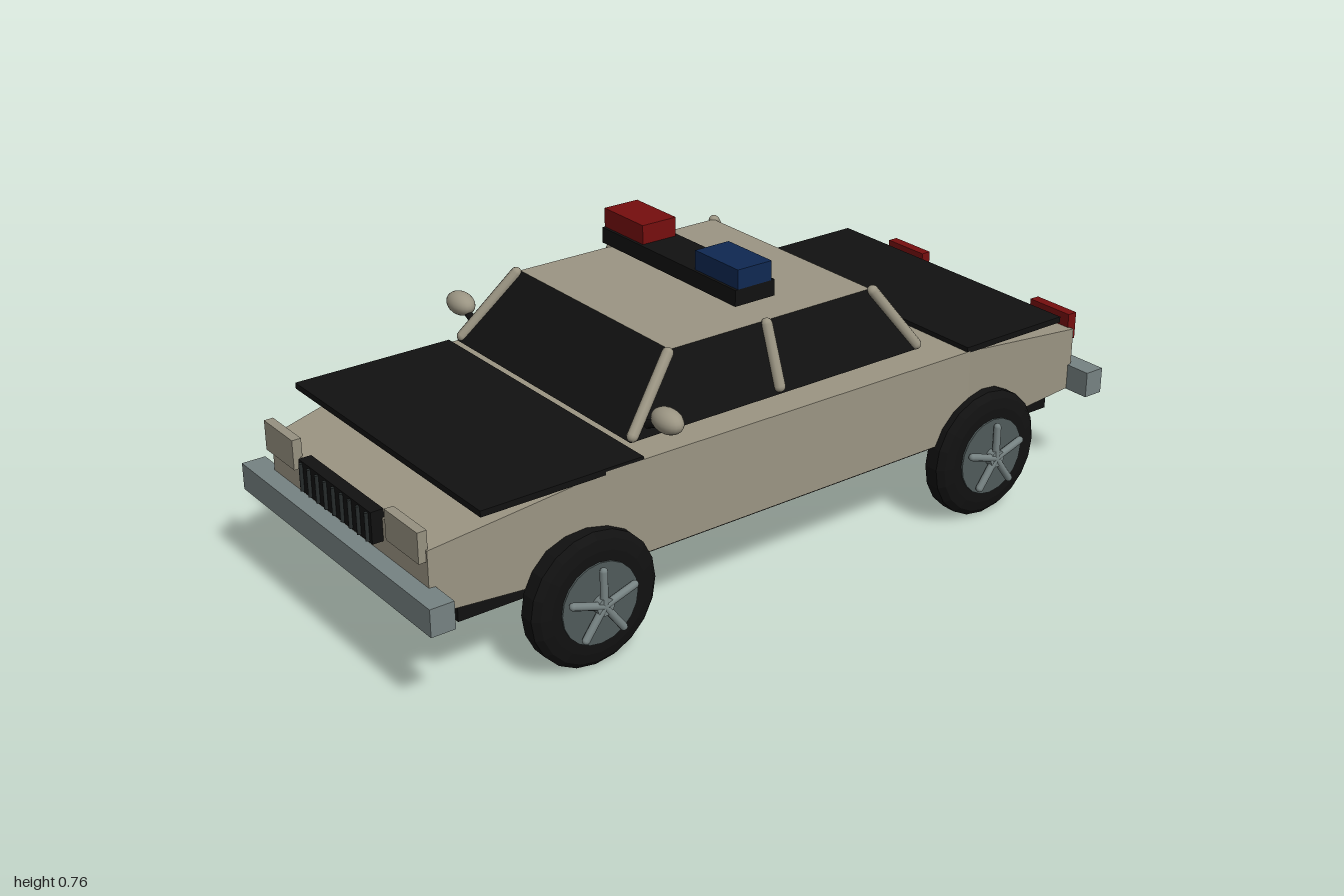
import * as THREE from 'three';

const mat = (name, color) => {
  const m = new THREE.MeshStandardMaterial({ color });
  m.name = name;
  return m;
};

export function createModel() {
  const beige = mat('beige paint', 0x9b9583);
  const black = mat('black', 0x111111);
  const steel = mat('steel grey', 0x768282);
  const rimGrey = mat('rim grey', 0x4f5a5a);
  const red = mat('red', 0x760e0e);
  const blue = mat('blue', 0x0f2852);
  const lampGlass = mat('headlight glass', 0x969180);
  const barGrey = mat('grille bar', 0x262b2b);

  const car = new THREE.Group();
  car.name = 'patrolCar';

  const add = (name, geometry, material, x = 0, y = 0, z = 0, parent = car) => {
    const mesh = new THREE.Mesh(geometry, material);
    mesh.name = name;
    mesh.position.set(x, y, z);
    parent.add(mesh);
    return mesh;
  };
  // Box given by its extents
  const box = (name, material, [x0, x1], [y0, y1], [z0, z1], parent = car) =>
    add(name, new THREE.BoxGeometry(x1 - x0, y1 - y0, z1 - z0), material,
      (x0 + x1) / 2, (y0 + y1) / 2, (z0 + z1) / 2, parent);
  // Flat facets, keeping material groups
  const faceted = (geometry) => {
    const g = geometry.index ? geometry.toNonIndexed() : geometry;
    g.computeVertexNormals();
    return g;
  };
  const reshape = (geometry, rule) => {
    const p = geometry.attributes.position;
    for (let i = 0; i < p.count; i++) p.setXYZ(i, ...rule(p.getX(i), p.getY(i), p.getZ(i)));
    return faceted(geometry);
  };
  // Round rod between two points
  const rod = (name, material, a, b, radius, parent = car) => {
    const from = new THREE.Vector3(...a), to = new THREE.Vector3(...b);
    const dir = to.clone().sub(from);
    const mesh = add(name, new THREE.CapsuleGeometry(radius, dir.length(), 4, 10), material, 0, 0, 0, parent);
    mesh.position.copy(from).add(to).multiplyScalar(0.5);
    mesh.quaternion.setFromUnitVectors(new THREE.Vector3(0, 1, 0), dir.normalize());
    return mesh;
  };

  // Body: four stations along z as [z, half width, top height]
  const stations = [[-0.957, 0.353, 0.382], [-0.54, 0.402, 0.447], [0.54, 0.402, 0.452], [0.955, 0.345, 0.373]];
  add('body', reshape(new THREE.BoxGeometry(2, 2, 3, 1, 1, 3), (x, y, z) => {
    const [sz, half, top] = stations[Math.round(z + 1.5)];
    return [x * half, y > 0 ? top : 0.22, sz];
  }), beige);
  box('underbody', black, [-0.338, 0.338], [0.175, 0.221], [-0.887, 0.885]);

  // Bonnet and boot panels
  box('bonnetPanel', black, [-0.402, 0.402], [0.444, 0.459], [0.44, 0.857]);
  box('bootPanel', black, [-0.402, 0.402], [0.444, 0.459], [-0.85, -0.53]);

  // Cabin: dark glass with a painted roof face
  add('cabin', reshape(new THREE.BoxGeometry(2, 2, 2), (x, y, z) => (y > 0
    ? [x * 0.3, 0.637, z > 0 ? 0.293 : -0.297]
    : [x * 0.357, 0.474, z > 0 ? 0.443 : -0.413])),
  [black, black, beige, black, black, black]);

  for (const s of [1, -1]) {
    // Roof pillars
    rod('frontPillar', beige, [s * 0.35, 0.485, 0.432], [s * 0.304, 0.632, 0.302], 0.014);
    rod('middlePillar', beige, [s * 0.354, 0.492, 0.02], [s * 0.304, 0.63, 0.02], 0.014);
    rod('rearPillar', beige, [s * 0.35, 0.485, -0.405], [s * 0.304, 0.632, -0.302], 0.014);

    // Door mirrors
    rod('mirrorArm', black, [s * 0.345, 0.5, 0.39], [s * 0.4, 0.525, 0.39], 0.01);
    add('mirror', new THREE.SphereGeometry(1, 20, 12), beige, s * 0.421, 0.537, 0.39).scale.set(0.047, 0.029, 0.03);

    // Head and tail lamps
    const side = s > 0 ? [0.205, 0.34] : [-0.34, -0.205];
    box('headlight', lampGlass, side, [0.345, 0.419], [0.95, 0.973]);
    box('tailLight', red, side, [0.348, 0.419], [-0.977, -0.95]);
  }

  // Bumpers
  box('frontBumper', steel, [-0.422, 0.422], [0.218, 0.285], [0.94, 1]);
  box('rearBumper', steel, [-0.422, 0.422], [0.218, 0.285], [-1, -0.945]);

  // Grille with vertical bars
  box('grille', black, [-0.161, 0.161], [0.317, 0.394], [0.95, 0.982]);
  for (let i = -4; i <= 4; i++) {
    add('grilleBar', new THREE.CylinderGeometry(0.005, 0.005, 0.068, 8), barGrey, i * 0.0365, 0.3555, 0.985);
  }

  // Roof light bar
  box('lightBarBase', black, [-0.26, 0.26], [0.671, 0.711], [-0.038, 0.077]);
  box('redBeacon', red, [-0.26, -0.103], [0.711, 0.759], [-0.028, 0.07]);
  box('blueBeacon', blue, [0.102, 0.26], [0.711, 0.759], [-0.028, 0.07]);

  // Wheels, built facing +x and turned round for the right side
  const tyreProfile = [[0.098, -0.039], [0.125, -0.039], [0.15, -0.033], [0.165, -0.019],
    [0.165, 0.019], [0.15, 0.033], [0.125, 0.039], [0.098, 0.039]].map((p) => new THREE.Vector2(...p));
  const tyreGeo = faceted(new THREE.LatheGeometry(tyreProfile, 20).rotateZ(-Math.PI / 2));
  const disc = (r, w) => new THREE.CylinderGeometry(r, r, w, 20).rotateZ(-Math.PI / 2);
  const makeWheel = () => {
    const wheel = new THREE.Group();
    wheel.name = 'wheel';
    add('tyre', tyreGeo, black, 0, 0, 0, wheel);
    add('rim', disc(0.1, 0.087), rimGrey, 0, 0, 0, wheel);
    add('innerHub', disc(0.04, 0.02), steel, -0.043, 0, 0, wheel);
    add('hubCap', disc(0.022, 0.028), steel, 0.05, 0, 0, wheel);
    for (let i = 0; i < 5; i++) {
      const a = (i * Math.PI * 2) / 5;
      rod('spoke', steel, [0.057, 0, 0],
        [0.057, 0.085 * Math.cos(a), 0.085 * Math.sin(a)], 0.0095, wheel);
    }
    return wheel;
  };
  for (const s of [1, -1]) {
    for (const z of [0.59, -0.592]) {
      const wheel = makeWheel();
      wheel.position.set(s * 0.401, 0.165, z);
      if (s < 0) wheel.rotation.y = Math.PI;
      car.add(wheel);
    }
  }
  return car;
}
